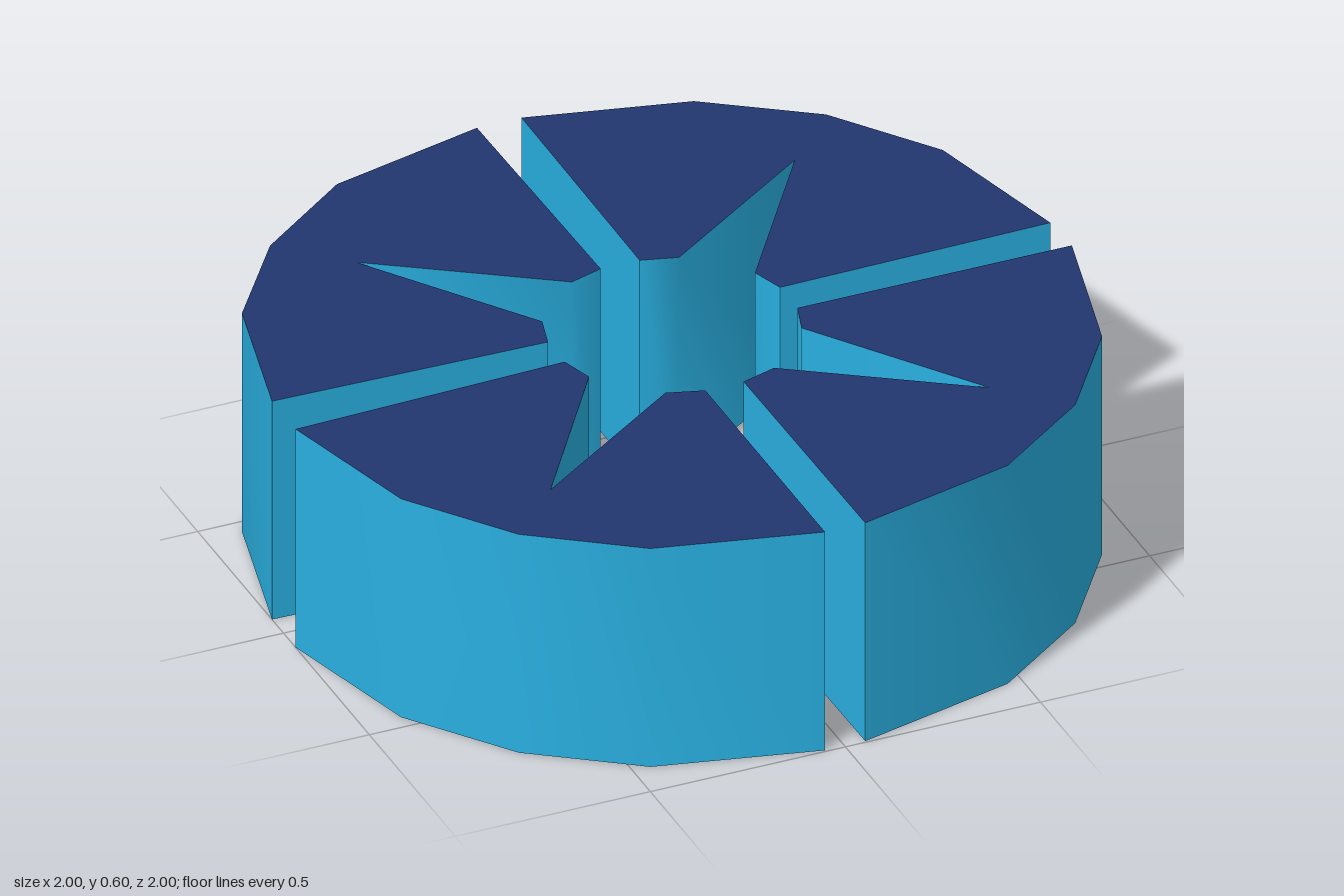
import * as THREE from 'three';
import { toCreasedNormals } from 'three/addons/utils/BufferGeometryUtils.js';

const HEIGHT = 0.6;

// Plan outline of each wedge as [x, z]: outer rim, slot edge, then the star-shaped notch
const WEDGES = {
  backRightWedge: [
    [0.05, -1], [0.45, -0.905], [0.71, -0.725], [0.896, -0.468], [0.995, -0.067],
    [0.297, -0.056], [0.27, -0.14], [0.56, -0.567], [0.135, -0.275], [0.045, -0.3],
  ],
  frontRightWedge: [
    [1, 0.047], [0.9, 0.45], [0.718, 0.707], [0.463, 0.893], [0.053, 0.995],
    [0.048, 0.298], [0.138, 0.27], [0.565, 0.555], [0.27, 0.132], [0.297, 0.045],
  ],
  frontLeftWedge: [
    [-0.05, 0.995], [-0.455, 0.898], [-0.712, 0.715], [-0.9, 0.458], [-1, 0.07],
    [-0.3, 0.047], [-0.275, 0.132], [-0.562, 0.56], [-0.14, 0.27], [-0.05, 0.298],
  ],
  backLeftWedge: [
    [-0.064, -1], [-0.467, -0.9], [-0.722, -0.71], [-0.905, -0.458], [-1, -0.067],
    [-0.3, -0.05], [-0.275, -0.14], [-0.567, -0.56], [-0.14, -0.275], [-0.054, -0.302],
  ],
};

function wedgeGeometry(outline) {
  const shape = new THREE.Shape(outline.map(([x, z]) => new THREE.Vector2(x, -z)));
  const geometry = new THREE.ExtrudeGeometry(shape, { depth: HEIGHT, bevelEnabled: false });
  geometry.rotateX(-Math.PI / 2);
  // Soft rim and notch shoulders, crisp slot corners and caps
  return toCreasedNormals(geometry, THREE.MathUtils.degToRad(58));
}

export function createModel() {
  const navy = new THREE.MeshStandardMaterial({ color: 0x22366f });
  navy.name = 'navy faces';
  const cyan = new THREE.MeshStandardMaterial({ color: 0x29afe0 });
  cyan.name = 'cyan walls';

  const model = new THREE.Group();
  model.name = 'slottedDisc';
  // Four wedges with navy caps and cyan side walls
  for (const [name, outline] of Object.entries(WEDGES)) {
    const wedge = new THREE.Mesh(wedgeGeometry(outline), [navy, cyan]);
    wedge.name = name;
    model.add(wedge);
  }
  return model;
}
